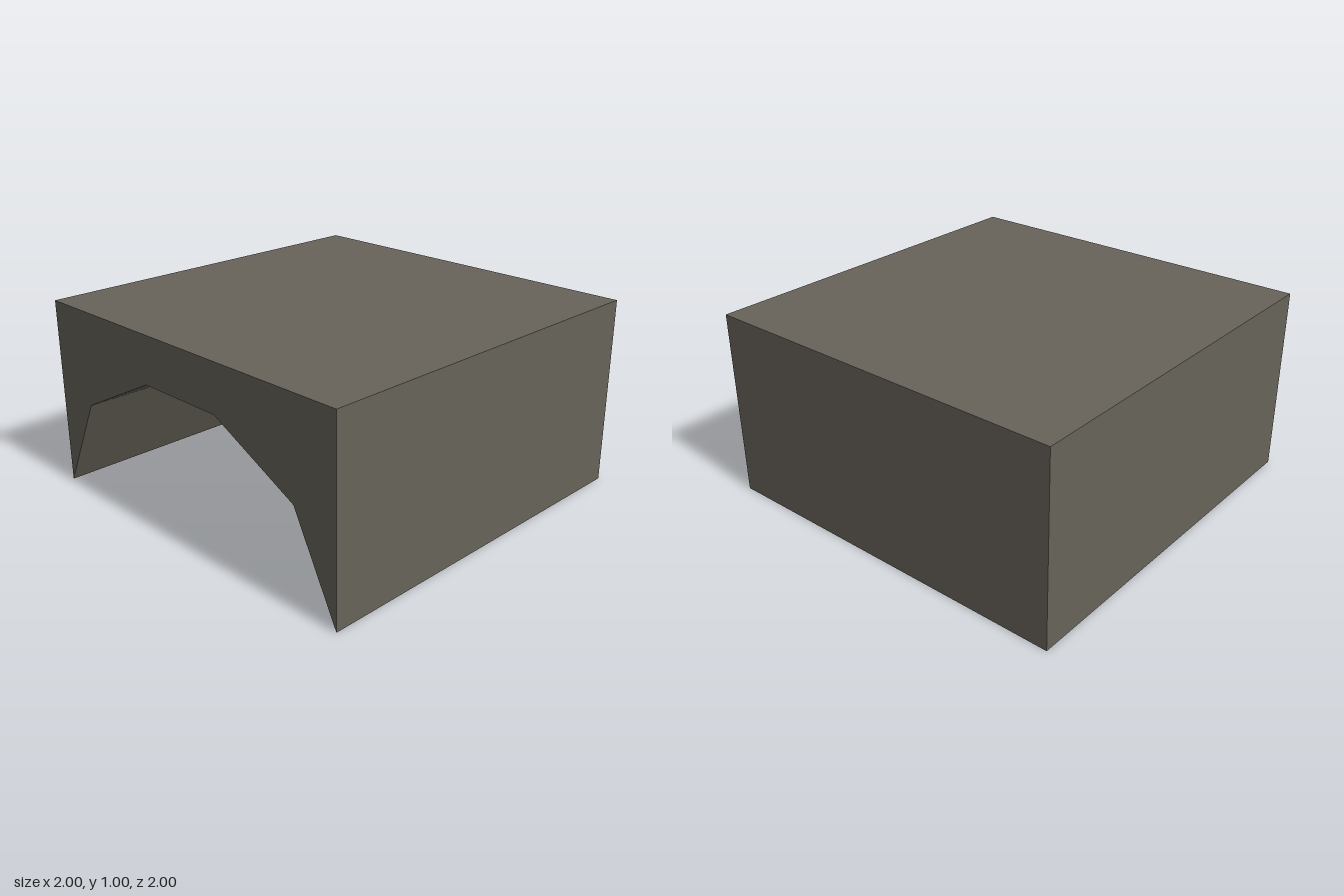
import * as THREE from 'three';

// Flat-faced geometry from four-cornered faces, corners counter-clockwise seen from outside
function quadGeometry(quads) {
  const positions = [];
  const addTriangle = (a, b, c) => {
    const [A, B, C] = [a, b, c].map((p) => new THREE.Vector3(...p));
    const area = B.clone().sub(A).cross(C.clone().sub(A)).length();
    if (area > 1e-6) positions.push(...a, ...b, ...c);
  };
  for (const [a, b, c, d] of quads) {
    addTriangle(a, b, c);
    addTriangle(a, c, d);
  }
  const geometry = new THREE.BufferGeometry();
  geometry.setAttribute('position', new THREE.Float32BufferAttribute(positions, 3));
  geometry.computeVertexNormals();
  return geometry;
}

export function createModel() {
  const group = new THREE.Group();
  group.name = 'vaultedBlock';
  const stone = new THREE.MeshStandardMaterial({ color: 0x67635a });
  stone.name = 'stone';
  const add = (name, geometry) => {
    const mesh = new THREE.Mesh(geometry, stone);
    mesh.name = name;
    group.add(mesh);
    return mesh;
  };

  // Height, half-width and diagonal corner of each level of the hollow
  const levels = [
    [0, 1, 0.81],
    [0.5, 0.75, 0.625],
    [0.75, 0.25, 0.25],
  ];
  const inner = 0.25;

  // Outer shell: top, back and both sides
  add('outerShell', quadGeometry([
    [[-1, 1, 1], [1, 1, 1], [1, 1, -1], [-1, 1, -1]],
    [[1, 0, -1], [-1, 0, -1], [-1, 1, -1], [1, 1, -1]],
    [[1, 0, 1], [1, 0, -1], [1, 1, -1], [1, 1, 1]],
    [[-1, 0, -1], [-1, 0, 1], [-1, 1, 1], [-1, 1, -1]],
  ]));

  // Front face with the faceted arch cut away
  const arch = [
    ...levels.map(([y, r]) => new THREE.Vector2(r, y)),
    ...levels.slice().reverse().map(([y, r]) => new THREE.Vector2(-r, y)),
  ];
  const face = new THREE.Shape([...arch, new THREE.Vector2(-1, 1), new THREE.Vector2(1, 1)]);
  add('archFront', new THREE.ShapeGeometry(face)).position.z = 1;

  // Hollow: U-shaped outlines joined level by level, closing in a half dome at the back
  const outlines = levels.map(([y, r, c]) => [
    [-r, y, 1], [-r, y, -inner], [-c, y, -c], [-inner, y, -r],
    [inner, y, -r], [c, y, -c], [r, y, -inner], [r, y, 1],
  ]);
  const vault = [];
  for (let l = 0; l < outlines.length - 1; l++) {
    const low = outlines[l], high = outlines[l + 1];
    for (let i = 0; i < low.length - 1; i++) {
      vault.push([low[i], low[i + 1], high[i + 1], high[i]]);
    }
  }
  const crown = outlines[2];
  vault.push([crown[0], crown[1], crown[6], crown[7]]);
  add('vaultInterior', quadGeometry(vault));

  // Undersides of the two solid back corners
  const base = outlines[0];
  add('cornerBases', quadGeometry([
    [[-1, 0, -1], base[3], base[2], base[1]],
    [[1, 0, -1], base[6], base[5], base[4]],
  ]));

  return group;
}
